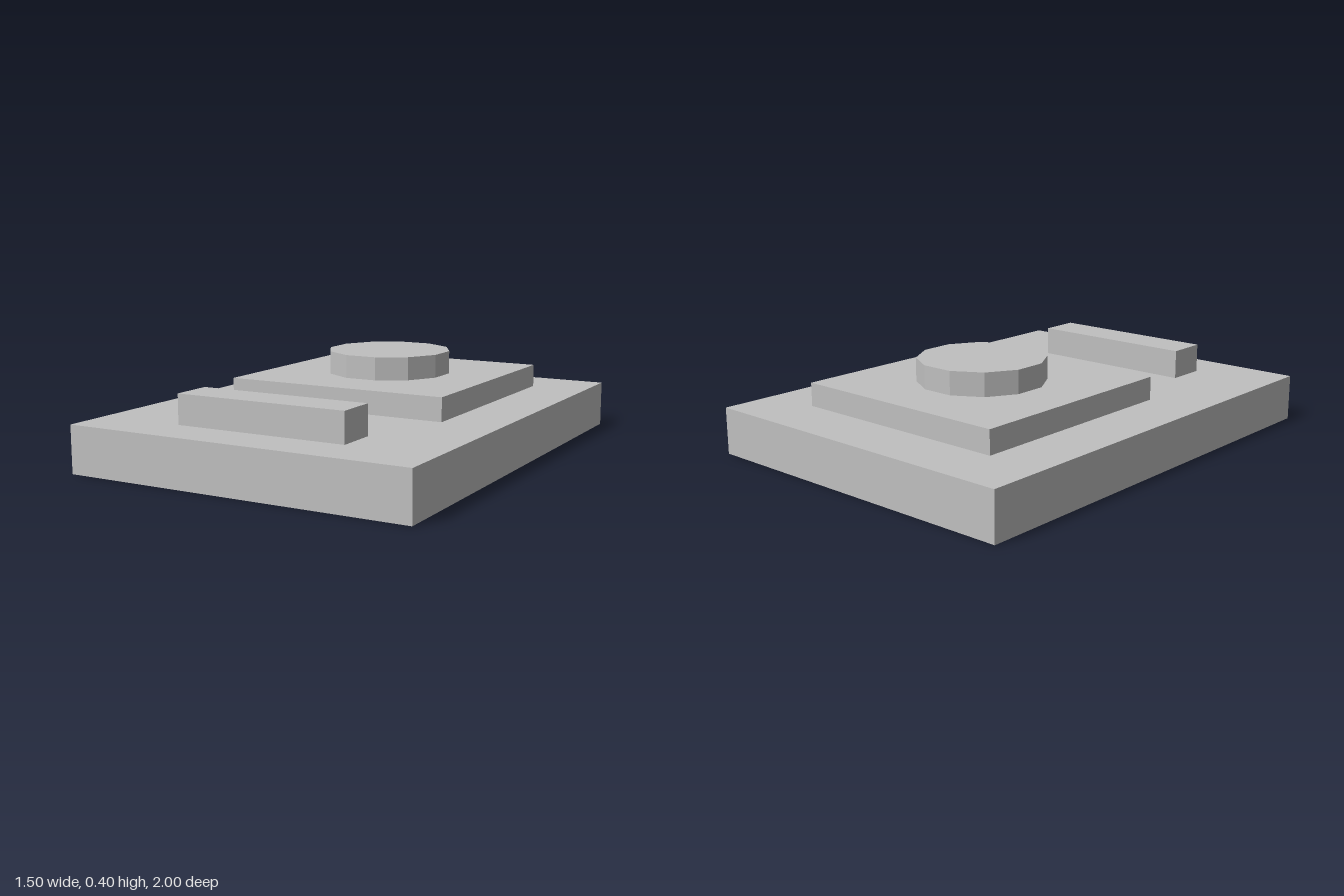
import * as THREE from 'three';

export function createModel() {
  const model = new THREE.Group();
  const grey = new THREE.MeshStandardMaterial({ name: 'plain grey', color: 0xc0c0c0, flatShading: true });

  // Adds a named part with its underside at height y
  function add(name, geometry, height, y, z) {
    const mesh = new THREE.Mesh(geometry, grey);
    mesh.name = name;
    mesh.position.set(0, y + height / 2, z);
    model.add(mesh);
  }
  const addBox = (name, w, h, d, y, z) => add(name, new THREE.BoxGeometry(w, h, d), h, y, z);

  // Slab, with a raised square and a bar near the front edge
  addBox('base', 1.5, 0.2, 2, 0, 0);
  addBox('raisedPlate', 1, 0.1, 1, 0.2, -0.25);
  addBox('frontBar', 0.75, 0.125, 0.175, 0.2, 0.7125);

  // Twelve-sided disc, turned so flat sides face the axes
  const disc = new THREE.CylinderGeometry(0.273, 0.273, 0.1, 12);
  disc.rotateY(Math.PI / 12);
  add('disc', disc, 0.1, 0.3, -0.252);

  return model;
}
